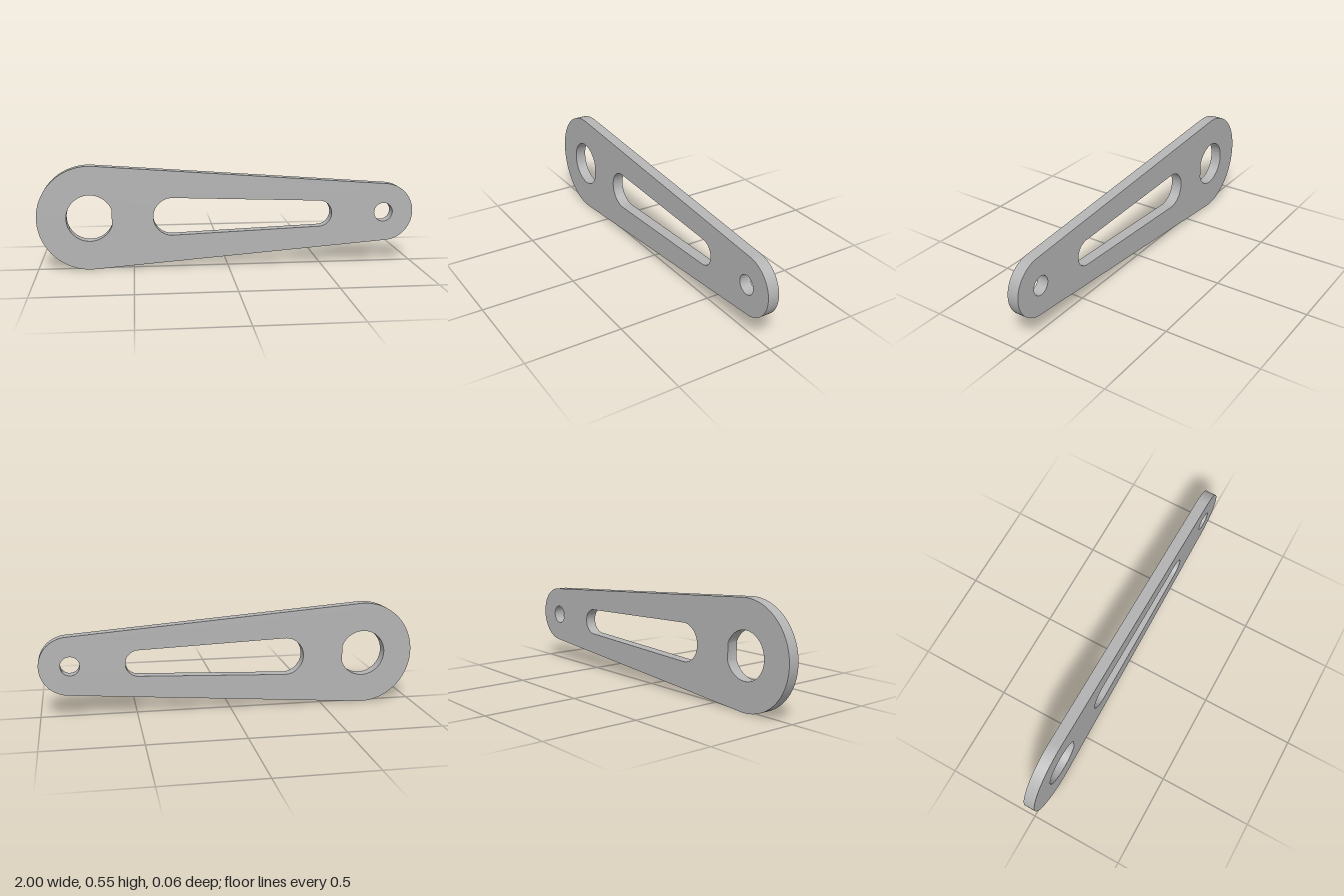
import * as THREE from 'three';
import { toCreasedNormals } from 'three/addons/utils/BufferGeometryUtils.js';

const MID = 0.2745; // height of the centre line
const THICK = 0.06;

// Outline of two circles joined by their outer tangents
function taper(path, x1, r1, x2, r2) {
  const a = Math.acos((r1 - r2) / (x2 - x1));
  path.absarc(x1, MID, r1, a, 2 * Math.PI - a, false);
  path.absarc(x2, MID, r2, -a, a, false);
  path.closePath();
  return path;
}

export function createModel() {
  const model = new THREE.Group();
  model.name = 'leverArm';
  const metal = new THREE.MeshStandardMaterial({ color: 0xb4b4b4 });
  metal.name = 'grey metal';

  // Tapered plate with rounded ends
  const plate = taper(new THREE.Shape(), -0.7255, 0.2745, 0.845, 0.155);

  // Shaft hole with one flat side
  const shaftHole = new THREE.Path();
  const flat = Math.acos(0.114 / 0.122);
  shaftHole.absarc(-0.7255, MID, 0.122, flat, 2 * Math.PI - flat, false);
  shaftHole.closePath();

  // Tapered lightening slot
  const slot = taper(new THREE.Path(), -0.295, 0.1, 0.487, 0.07);

  // Pin hole in the small end
  const pinHole = new THREE.Path();
  pinHole.absarc(0.84, MID, 0.05, 0, 2 * Math.PI, false);

  plate.holes.push(shaftHole, slot, pinHole);

  const geometry = new THREE.ExtrudeGeometry(plate, { depth: THICK, bevelEnabled: false, curveSegments: 48 });
  geometry.translate(0, 0, -THICK / 2);
  const arm = new THREE.Mesh(toCreasedNormals(geometry, 0.4), metal);
  arm.name = 'armPlate';
  model.add(arm);
  return model;
}
